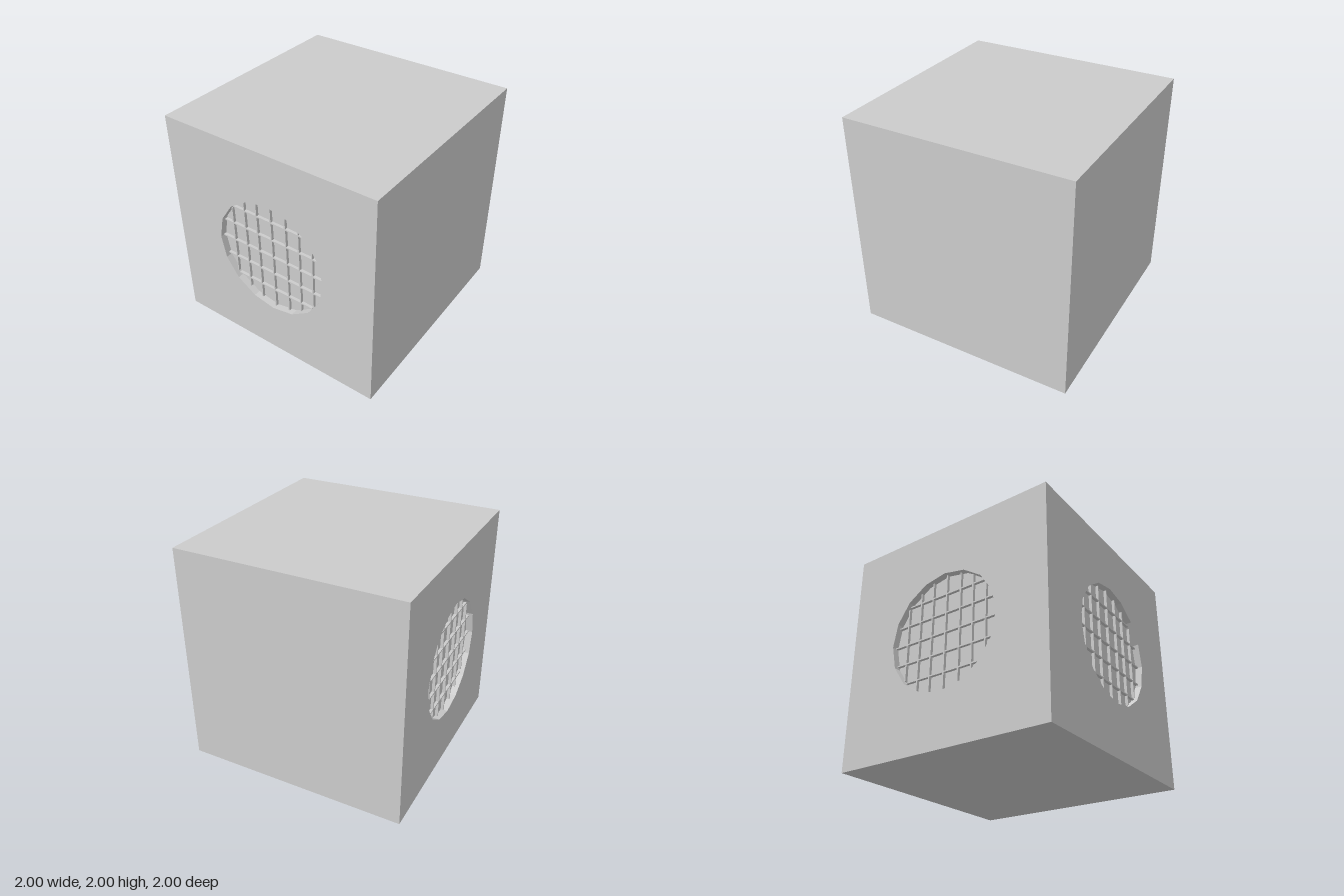
import * as THREE from 'three';

const R = 0.53, SIDES = 16, DEPTH = 0.06, BAR_DEPTH = 0.025;
const STEP = (Math.PI * 2) / SIDES;

// Half length of a bar that crosses the recess at distance d from its centre
function halfChord(d) {
  const apothem = R * Math.cos(STEP / 2);
  let half = R;
  for (let k = 0; k < SIDES / 4; k++) {
    const a = (k + 0.5) * STEP;
    half = Math.min(half, (apothem - Math.abs(d) * Math.sin(a)) / Math.cos(a));
  }
  return half;
}

export function createModel() {
  const model = new THREE.Group();
  model.name = 'speakerCube';
  const mat = new THREE.MeshStandardMaterial({ color: 0xcccccc, flatShading: true });
  const thin = mat.clone();
  thin.side = THREE.DoubleSide;

  function add(parent, name, geometry, x = 0, y = 0, z = 0, material = mat) {
    const mesh = new THREE.Mesh(geometry, material);
    mesh.name = name;
    mesh.position.set(x, y, z);
    parent.add(mesh);
  }

  // One side of the cube, built facing +z and then turned into place
  function side(name, rx, ry) {
    const group = new THREE.Group();
    group.name = name;
    group.position.y = 1;
    group.rotation.set(rx, ry, 0);
    model.add(group);
    return group;
  }

  // Plain sides
  const plain = [
    ['backPanel', 0, Math.PI],
    ['leftPanel', 0, Math.PI / 2],
    ['topPanel', -Math.PI / 2, 0],
    ['bottomPanel', Math.PI / 2, 0],
  ];
  for (const [name, rx, ry] of plain) {
    add(side(name, rx, ry), name, new THREE.PlaneGeometry(2, 2), 0, 0, 1);
  }

  // Sides with a round recess and a grille
  for (const [name, ry] of [['frontGrille', 0], ['rightGrille', -Math.PI / 2]]) {
    const group = side(name, 0, ry);

    const shape = new THREE.Shape([[-1, -1], [1, -1], [1, 1], [-1, 1]].map(([x, y]) => new THREE.Vector2(x, y)));
    const rim = [];
    for (let i = 0; i < SIDES; i++) {
      rim.push(new THREE.Vector2(R * Math.cos(-i * STEP), R * Math.sin(-i * STEP)));
    }
    shape.holes.push(new THREE.Path(rim));
    add(group, 'panel', new THREE.ShapeGeometry(shape), 0, 0, 1);

    const wall = new THREE.CylinderGeometry(R, R, DEPTH, SIDES, 1, true).rotateX(Math.PI / 2);
    add(group, 'recessWall', wall, 0, 0, 1 - DEPTH / 2, thin);
    add(group, 'recessFloor', new THREE.CircleGeometry(R, SIDES), 0, 0, 1 - DEPTH);

    // Crossing bars standing on the recess floor
    const z = 1 - DEPTH + BAR_DEPTH / 2;
    for (const x of [-0.403, -0.273, -0.145, 0, 0.145, 0.273, 0.403]) {
      add(group, 'verticalBar', new THREE.BoxGeometry(0.012, 2 * halfChord(x), BAR_DEPTH), x, 0, z);
    }
    for (const y of [-0.352, -0.176, 0, 0.176, 0.352]) {
      add(group, 'horizontalBar', new THREE.BoxGeometry(2 * halfChord(y), 0.012, BAR_DEPTH), 0, y, z);
    }
  }
  return model;
}
